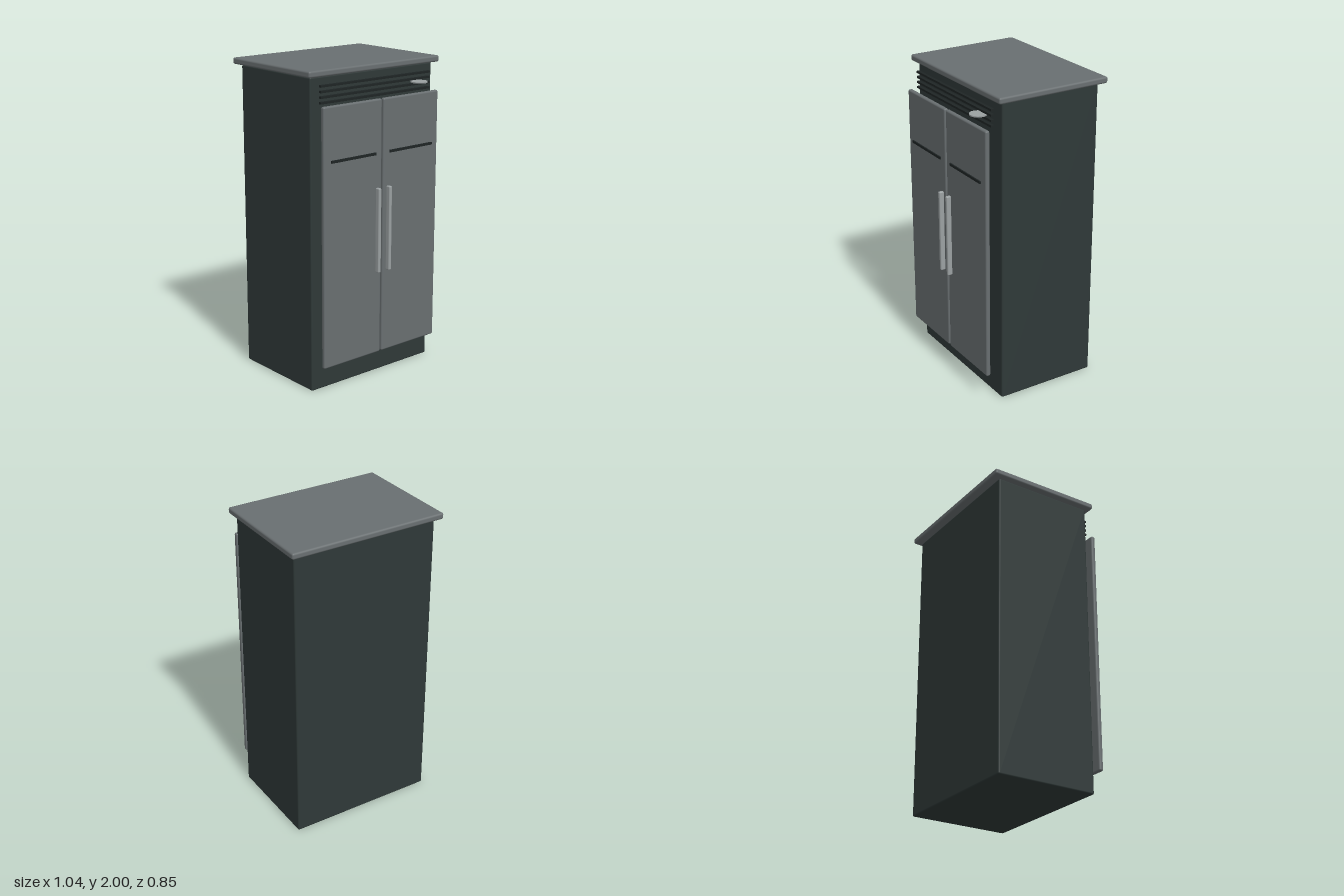
import * as THREE from 'three';
import { RoundedBoxGeometry } from 'three/addons/geometries/RoundedBoxGeometry.js';

const material = (name, color) => {
  const m = new THREE.MeshStandardMaterial({ color });
  m.name = name;
  return m;
};

export function createModel() {
  const model = new THREE.Group();
  model.name = 'refrigerator';

  const darkShell = material('dark shell', 0x2f3938);
  const greyPanel = material('grey panel', 0x696f71);
  const blackTrim = material('black trim', 0x1f2525);
  const paleMetal = material('pale metal', 0x9ba1a2);

  const add = (name, geometry, mat, x, y, z) => {
    const mesh = new THREE.Mesh(geometry, mat);
    mesh.name = name;
    mesh.position.set(x, y, z);
    model.add(mesh);
    return mesh;
  };
  // Box with softly bevelled edges
  const bevelBox = (w, h, d, r) => new RoundedBoxGeometry(w, h, d, 2, r);

  // Cabinet and overhanging top
  add('cabinet', bevelBox(0.974, 1.958, 0.674, 0.01), darkShell, 0, 0.979, -0.042);
  add('topSlab', bevelBox(1.042, 0.04, 0.758, 0.012), greyPanel, 0, 1.98, -0.046);

  // Paired doors with their trim strips and handles
  for (const [side, s] of [['right', -1], ['left', 1]]) {
    add(side + 'Door', bevelBox(0.456, 1.625, 0.03, 0.011), greyPanel, s * 0.2335 - 0.002, 0.983, 0.375);
    add(side + 'DoorStrip', new THREE.BoxGeometry(0.35, 0.016, 0.009), blackTrim, s * 0.232 - 0.002, 1.465, 0.394);
    add(side + 'Handle', bevelBox(0.023, 0.54, 0.034, 0.007), paleMetal, s * 0.0435 - 0.002, 0.981, 0.404);
  }

  // Ventilation slats above the doors
  for (let i = 0; i < 4; i++) {
    add('ventSlat' + (i + 1), new THREE.BoxGeometry(0.874, 0.013, 0.02), blackTrim, -0.002, 1.808 + i * 0.0328, 0.327);
  }

  // Flat round badge lying level across the vent
  add('badgeDisc', new THREE.CylinderGeometry(0.053, 0.053, 0.008, 32), paleMetal, 0.325, 1.857, 0.357);

  return model;
}
